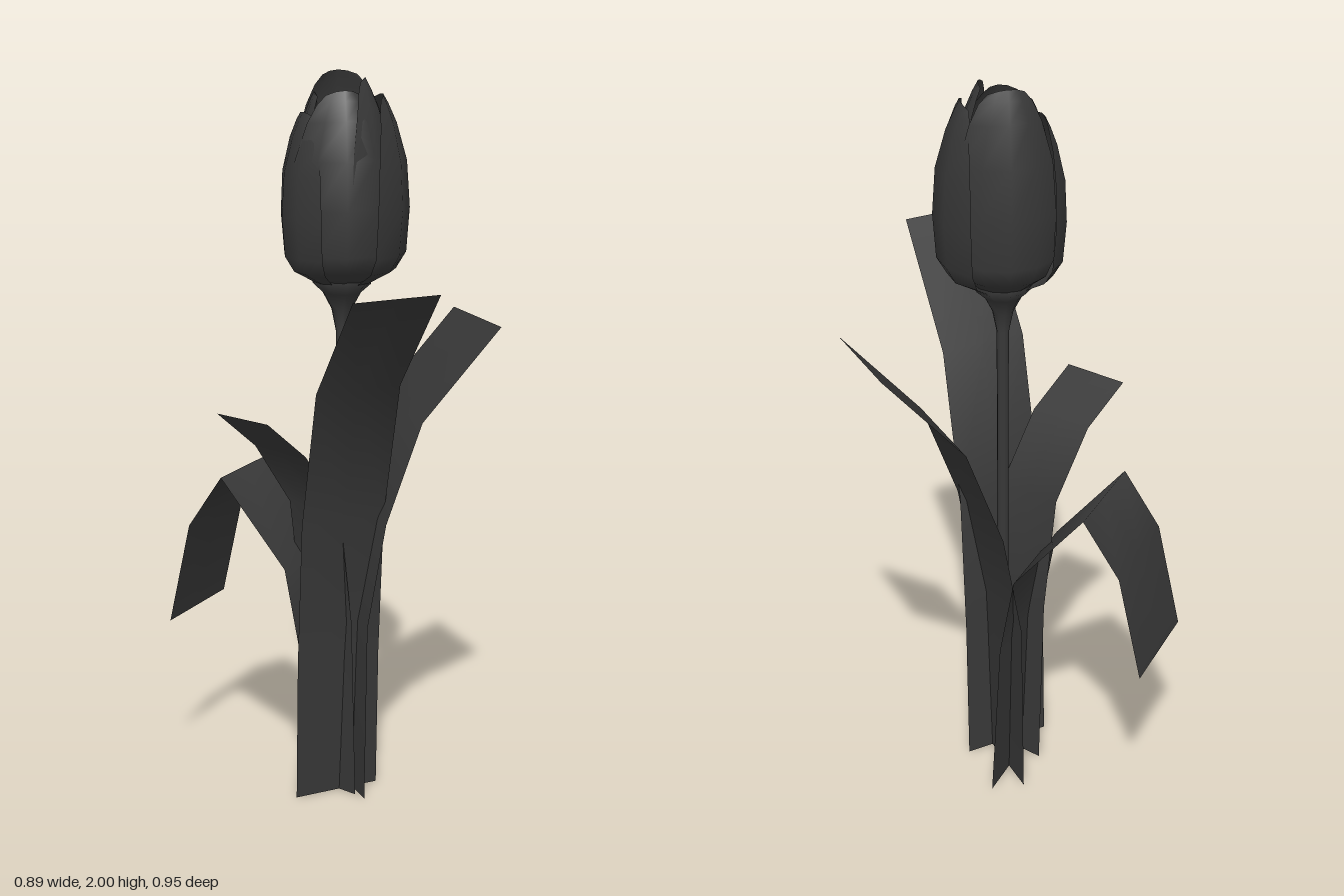
import * as THREE from 'three';

const material = new THREE.MeshStandardMaterial({ color: 0x383838, side: THREE.DoubleSide });
const AXIS = [0.015, -0.044]; // x, z of the stem

function addMesh(parent, name, geometry) {
  const mesh = new THREE.Mesh(geometry, material);
  mesh.name = name;
  parent.add(mesh);
  return mesh;
}

// Smooth surface over a grid of rows and columns
function grid(rows, cols, point) {
  const pos = [], index = [];
  for (let i = 0; i <= rows; i++)
    for (let j = 0; j <= cols; j++) pos.push(...point(i, j));
  for (let i = 0; i < rows; i++)
    for (let j = 0; j < cols; j++) {
      const a = i * (cols + 1) + j, b = a + cols + 1;
      index.push(a, b, a + 1, a + 1, b, b + 1);
    }
  const g = new THREE.BufferGeometry();
  g.setAttribute('position', new THREE.Float32BufferAttribute(pos, 3));
  g.setIndex(index);
  g.computeVertexNormals();
  return g;
}

// Flat strip of constant width: centre line [x, y, z] and half-width [x, z]
function leaf(path, half) {
  return grid(path.length - 1, 2, (i, j) => {
    const [x, y, z] = path[i];
    return [x + half[0] * (j - 1), y, z + half[1] * (j - 1)];
  });
}

// Petal rows: height fraction, radius fraction, width fraction
const PETAL = [
  [0, 0.45, 1], [0.07, 0.8, 1], [0.16, 0.95, 1], [0.4, 1, 1],
  [0.65, 0.96, 0.96], [0.85, 0.82, 0.82], [0.95, 0.71, 0.68], [1, 0.64, 0.5],
];

function petal({ angle, top, radius, spread, close }) {
  const cols = 4, base = 1.445;
  return grid(PETAL.length - 1, cols, (i, j) => {
    const [t, r, w] = PETAL[i];
    const u = (j / cols) * 2 - 1;
    const a = THREE.MathUtils.degToRad(angle + u * spread * w);
    // One side edge sits slightly outside the other, so neighbours overlap
    const rr = radius * (r - close * t ** 4) + 0.008 * u * t;
    const y = base + t * (top - base) - 0.012 * u * u * t ** 3;
    return [AXIS[0] + rr * Math.cos(a), y, AXIS[1] + rr * Math.sin(a)];
  });
}

export function createModel() {
  const model = new THREE.Group();
  model.name = 'tulip';

  // Leaves, crossing each other around the foot of the stem
  addMesh(model, 'frontLeaf', leaf([
    [-0.008, 0, 0], [-0.006, 0.4, 0.018], [0.002, 0.8, 0.045],
    [0.02, 1.19, 0.162], [0.062, 1.48, 0.436],
  ], [0.121, -0.038]));
  addMesh(model, 'sideLeaf', leaf([
    [0.028, 0, -0.077], [0.036, 0.5, -0.078], [0.088, 0.79, -0.083],
    [0.192, 1.065, -0.105], [0.417, 1.315, -0.138],
  ], [0.027, 0.159]));
  addMesh(model, 'droopingLeaf', leaf([
    [-0.003, 0, -0.104], [-0.025, 0.45, -0.107], [-0.06, 0.66, -0.117],
    [-0.215, 0.895, -0.245], [-0.297, 0.745, -0.308], [-0.35, 0.458, -0.345],
  ], [-0.095, 0.13]));
  addMesh(model, 'smallLeaf', leaf([
    [-0.02, 0, -0.03], [-0.028, 0.5, -0.043], [-0.062, 0.82, -0.034],
    [-0.168, 1.0, 0.034], [-0.278, 1.105, 0.078],
  ], [0.056, 0.077]));

  // Stem flaring into the receptacle under the flower
  const profile = [
    [0, 0], [0.016, 0], [0.016, 1.31], [0.028, 1.37], [0.052, 1.415], [0.08, 1.44], [0.07, 1.47], [0, 1.48],
  ].map(([r, y]) => new THREE.Vector2(r, y));
  addMesh(model, 'stem', new THREE.LatheGeometry(profile, 10))
    .position.set(AXIS[0], 0, AXIS[1]);

  // Flower cup: three outer and three inner petals
  const flower = new THREE.Group();
  flower.name = 'flower';
  model.add(flower);
  [
    { angle: 10, top: 1.945, radius: 0.182, spread: 60, close: 0.04 },
    { angle: 175, top: 1.9, radius: 0.165, spread: 55, close: 0 },
    { angle: 275, top: 2.0, radius: 0.15, spread: 60, close: 0 },
  ].forEach((p) => addMesh(flower, 'outerPetal', petal(p)));
  [
    { angle: 95, top: 1.96, radius: 0.15, spread: 66, close: 0.1 },
    { angle: 200, top: 1.95, radius: 0.138, spread: 55, close: 0.1 },
    { angle: 30, top: 1.99, radius: 0.142, spread: 60, close: 0.18 },
  ].forEach((p) => addMesh(flower, 'innerPetal', petal(p)));

  // Pistil and stamens inside the cup
  const pistil = addMesh(flower, 'pistil', new THREE.CylinderGeometry(0.014, 0.02, 0.16, 6));
  pistil.position.set(AXIS[0], 1.54, AXIS[1]);
  for (let i = 0; i < 3; i++) {
    const a = -1.3 + (i / 3) * Math.PI * 2;
    const foot = new THREE.Vector3(AXIS[0] + 0.02 * Math.cos(a), 1.46, AXIS[1] + 0.02 * Math.sin(a));
    const tip = new THREE.Vector3(AXIS[0] + 0.05 * Math.cos(a), 1.62, AXIS[1] + 0.05 * Math.sin(a));
    addMesh(flower, 'filament', new THREE.TubeGeometry(new THREE.LineCurve3(foot, tip), 1, 0.005, 5));
    const anther = addMesh(flower, 'anther', new THREE.SphereGeometry(0.019, 8, 6));
    anther.position.copy(tip);
    anther.scale.y = 1.4;
  }
  return model;
}
